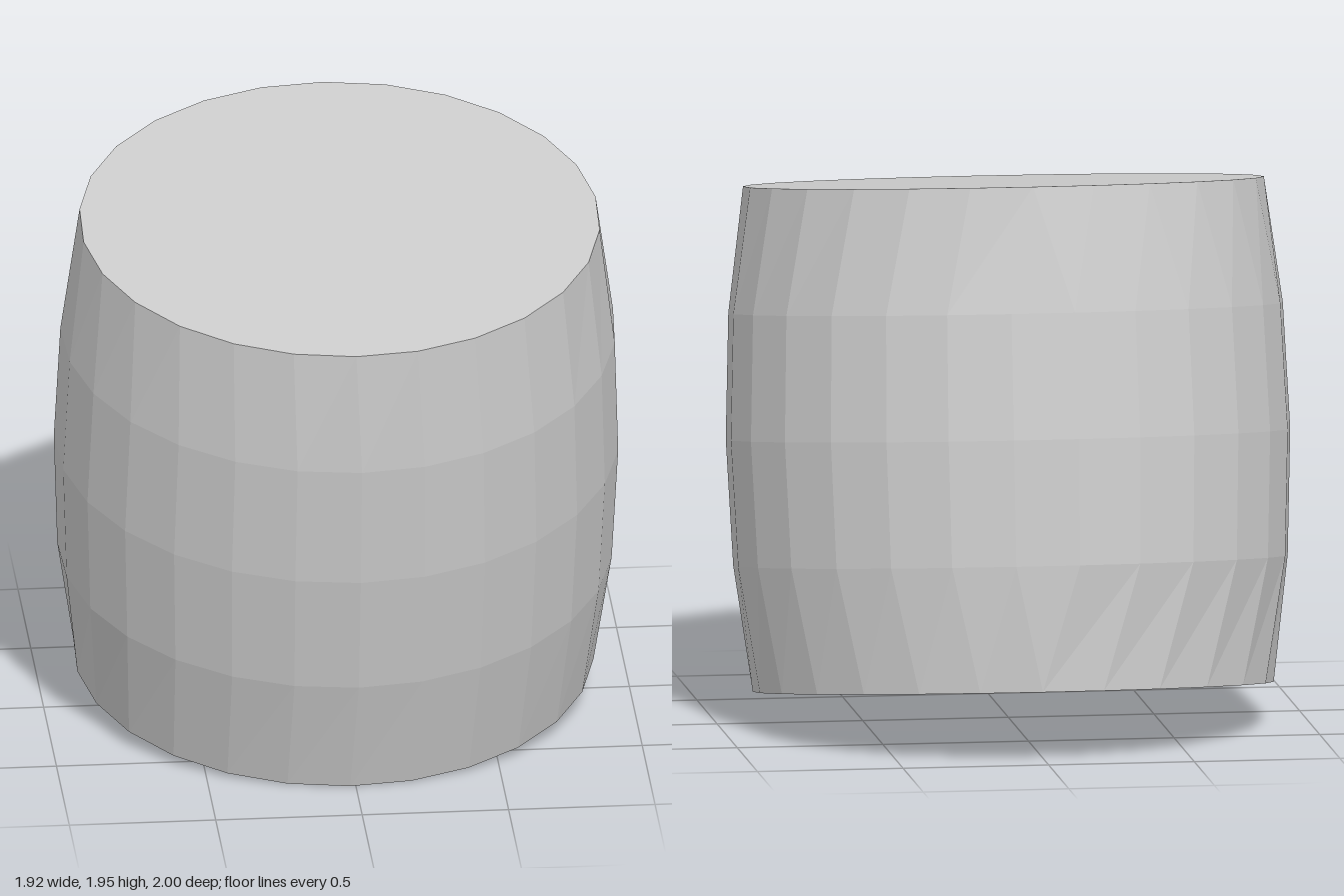
import * as THREE from 'three';

const TILT = 0.142;                 // lean towards the front
const PROFILE = [                   // height along the axis, radius, sides
  [-0.86, 0.886, 26],
  [-0.43, 0.945, 27],
  [0, 0.962, 27],
  [0.43, 0.945, 27],
  [0.86, 0.886, 26],
];
const N = 27;

// Ring of 27 points; a 26-sided ring repeats its point at the back
function ring([y, r, sides]) {
  const phase = sides === 26 ? -0.022 : 0;
  return Array.from({ length: N }, (_, i) => {
    const a = ((i - 13) / sides) * Math.PI * 2 + phase;
    return new THREE.Vector3(r * Math.sin(a), y, r * Math.cos(a));
  });
}

function meshFromTriangles(name, triangles, material) {
  const points = triangles
    .filter(([a, b, c]) => a.distanceTo(b) > 1e-5 && b.distanceTo(c) > 1e-5 && c.distanceTo(a) > 1e-5)
    .flat();
  const geometry = new THREE.BufferGeometry().setFromPoints(points);
  geometry.computeVertexNormals();
  const mesh = new THREE.Mesh(geometry, material);
  mesh.name = name;
  return mesh;
}

export function createModel() {
  const grey = new THREE.MeshStandardMaterial({ color: 0xcccccc, flatShading: true });
  grey.name = 'light grey';

  const rings = PROFILE.map(ring);
  const wall = [], top = [], bottom = [];
  const topCentre = new THREE.Vector3(0, 0.86, 0);
  const bottomCentre = new THREE.Vector3(0, -0.86, 0);

  for (let i = 0; i < N; i++) {
    const j = (i + 1) % N;
    // bulging side
    for (let k = 0; k < rings.length - 1; k++) {
      const lo = rings[k], hi = rings[k + 1];
      wall.push([lo[i], lo[j], hi[j]], [lo[i], hi[j], hi[i]]);
    }
    // flat ends
    top.push([topCentre, rings[4][i], rings[4][j]]);
    bottom.push([bottomCentre, rings[0][j], rings[0][i]]);
  }

  const barrel = new THREE.Group();
  barrel.name = 'barrel';
  barrel.add(
    meshFromTriangles('barrelWall', wall, grey),
    meshFromTriangles('topEnd', top, grey),
    meshFromTriangles('bottomEnd', bottom, grey),
  );
  barrel.rotation.x = TILT;
  barrel.position.y = 0.977;

  const model = new THREE.Group();
  model.name = 'tiltedBarrel';
  model.add(barrel);
  return model;
}
